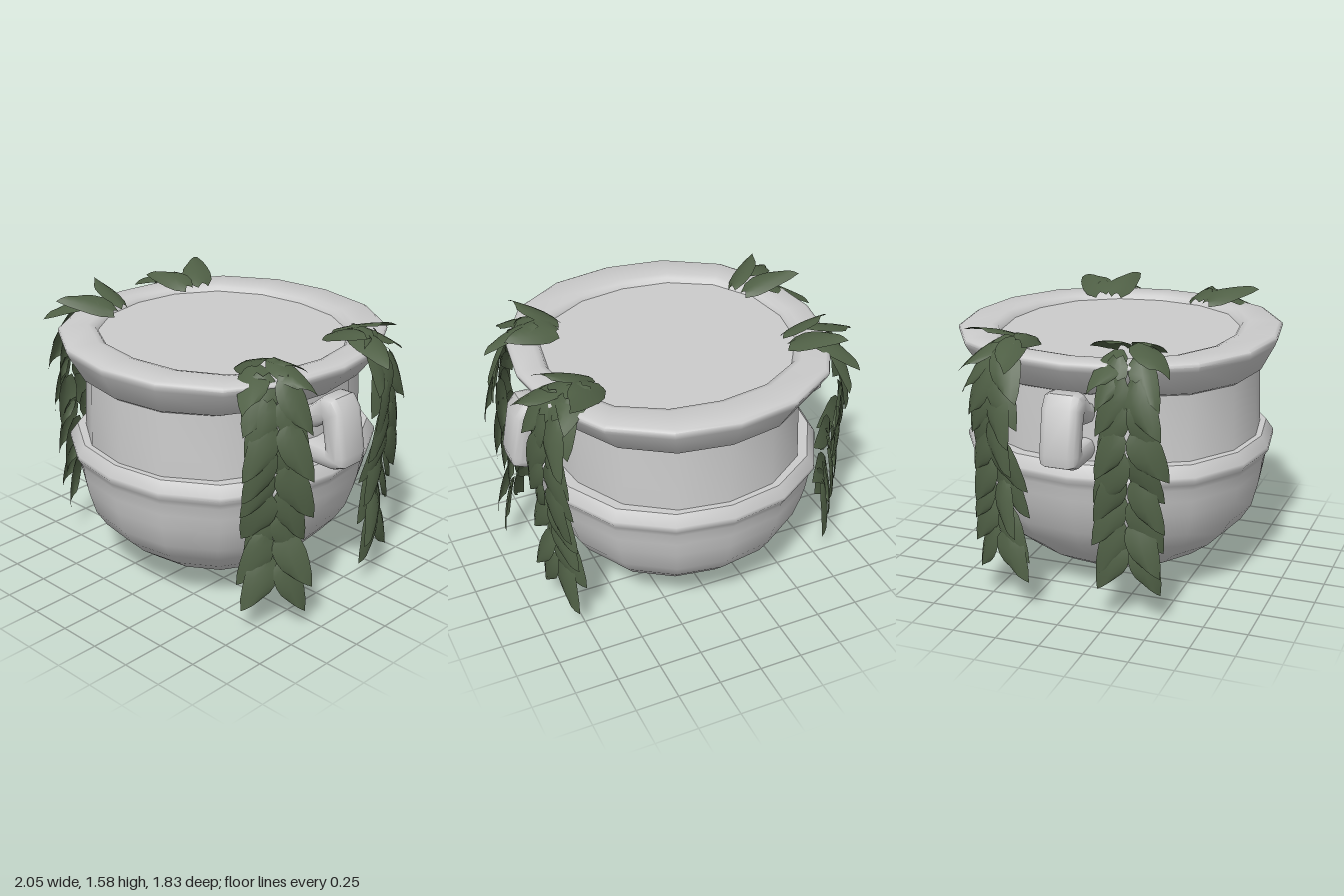
import * as THREE from 'three';
import { mergeGeometries, toCreasedNormals } from 'three/addons/utils/BufferGeometryUtils.js';

const stone = new THREE.MeshStandardMaterial({ color: 0xcccccc });
const green = new THREE.MeshStandardMaterial({ color: 0x4f5f45, side: THREE.DoubleSide });

// Small seeded generator for the irregularity of the leaves, -1..1
let seed = 7;
const jitter = () => {
  seed = (seed * 16807) % 2147483647;
  return (seed / 2147483647) * 2 - 1;
};

function named(name, geometry, material) {
  const mesh = new THREE.Mesh(geometry, material);
  mesh.name = name;
  return mesh;
}

// 16-sided oval pot with closed mouth: each ring is [depth radius, width radius, height]
function makePot() {
  const rings = [
    [0, 0, 0], [0.13, 0.12, 0.008], [0.26, 0.24, 0.033], [0.4, 0.37, 0.085],
    [0.53, 0.49, 0.155], [0.65, 0.595, 0.245], [0.74, 0.67, 0.335],
    [0.8, 0.73, 0.43], [0.835, 0.775, 0.56], [0.85, 0.8, 0.65], [0.858, 0.81, 0.72],
    [0.87, 0.82, 0.75], [0.889, 0.84, 0.78], [0.886, 0.838, 0.8], [0.845, 0.795, 0.86],
    [0.813, 0.73, 0.86], [0.8, 0.715, 1.23], [0.83, 0.765, 1.25],
    [0.905, 0.88, 1.395], [0.917, 0.895, 1.425], [0.913, 0.89, 1.44], [0.895, 0.87, 1.45],
    [0.72, 0.76, 1.45], [0.685, 0.725, 1.44], [0.668, 0.71, 1.415], [0, 0, 1.415],
  ];
  const geo = new THREE.LatheGeometry(rings.map(([r, , y]) => new THREE.Vector2(r, y)), 16);
  const pos = geo.attributes.position;
  for (let i = 0; i < pos.count; i++) {
    const [rz, rx] = rings[i % rings.length];
    if (rz === 0) continue;
    // oval plan, slightly fuller on the diagonals
    const sin = pos.getX(i) / rz;
    const cos = pos.getZ(i) / rz;
    const full = 1 + 0.035 * (2 * sin * cos) ** 2;
    pos.setX(i, sin * rx * full);
    pos.setZ(i, cos * rz * full);
  }
  return named('pot', toCreasedNormals(geo, 0.85), stone);
}

// C-shaped handle, cut from its side outline with broad chamfers
function makeHandle(side) {
  const bevel = 0.045;
  const outline = [
    [0.66, 1.14], [0.74, 1.15], [0.83, 1.23], [0.87, 1.23], [0.9, 1.19], [0.94, 0.96],
    [0.935, 0.93], [0.9, 0.915], [0.66, 0.915], [0.66, 0.945], [0.87, 0.945], [0.895, 0.97],
    [0.86, 1.16], [0.835, 1.185], [0.75, 1.12], [0.66, 1.11],
  ].map(([x, y]) => new THREE.Vector2(x, y));
  const geo = new THREE.ExtrudeGeometry(new THREE.Shape(outline), {
    depth: 0.13, bevelEnabled: true, bevelSize: bevel, bevelThickness: bevel, bevelSegments: 2,
  });
  geo.translate(0, 0, -0.065);
  if (side < 0) geo.rotateY(Math.PI);
  return named(side > 0 ? 'leftHandle' : 'rightHandle', toCreasedNormals(geo, 0.9), stone);
}

// Broad leaf with a round base; the tip is cut on a slant, longest on its outer side
function makeLeaf(length, width, lean) {
  const half = [0.35, 0.85, 1, 0.97, 0.85, 0.55];
  const geo = new THREE.PlaneGeometry(2, 1, 4, 5);
  const pos = geo.attributes.position;
  for (let i = 0; i < pos.count; i++) {
    const u = pos.getX(i);
    const v = pos.getY(i) + 0.5;
    const w = half[Math.round(v * 5)] * width / 2;
    pos.setXYZ(i,
      u * w + lean * 0.045 * v * v,
      v * length + 0.04 * lean * u * v * v - 0.02 * Math.abs(u) * (1 - v),
      0.015 * Math.sin(v * Math.PI) - 0.02 * u * u + 0.02 * v * v);
  }
  geo.computeVertexNormals();
  return geo;
}

// Splayed pairs of leaves along a path from the rim, over the edge and down
function makeGarland({ name, inner, edge, turn, end }) {
  const out = new THREE.Vector3(Math.cos(turn), 0, Math.sin(turn));
  const across = new THREE.Vector3(0, -1, 0).cross(out).normalize();
  const [ix, iz] = inner;
  const [ex, ez] = edge;
  const path = new THREE.CatmullRomCurve3([
    new THREE.Vector3(ix, 1.475, iz),
    new THREE.Vector3(THREE.MathUtils.lerp(ix, ex, 0.65), 1.515, THREE.MathUtils.lerp(iz, ez, 0.65)),
    new THREE.Vector3(ex, 1.42, ez),
    new THREE.Vector3(ex + out.x * 0.05, 1.05, ez + out.z * 0.05),
    new THREE.Vector3(ex, 0.75, ez),
    new THREE.Vector3(ex, end, ez),
  ]);
  const total = path.getLength();
  const length = 0.27;
  const rows = 11;
  const leaves = [];
  for (let r = 0; r < rows; r++) {
    const d = (r / (rows - 1)) * (total - length);
    const base = path.getPointAt(d / total);
    const along = path.getPointAt((d + length * 0.8) / total).sub(base).normalize();
    const normal = across.clone().cross(along).normalize();
    const side = along.clone().cross(normal).normalize();
    const frame = new THREE.Matrix4().makeBasis(side, along, normal).setPosition(base);
    for (const s of [-1, 1]) {
      const leaf = makeLeaf(length * (1 + 0.08 * jitter()), 0.17 + 0.02 * jitter(), s);
      leaf.rotateX(0.12 * jitter());
      leaf.rotateY(s * 0.15 + 0.2 * jitter());
      leaf.rotateZ(-s * (0.12 + 0.08 * jitter()));
      leaf.translate(s * 0.055 + 0.015 * jitter(), 0.02 * jitter(), 0.012 * jitter());
      leaves.push(leaf.applyMatrix4(frame));
    }
  }
  return named(name, mergeGeometries(leaves), green);
}

export function createModel() {
  const model = new THREE.Group();
  model.name = 'garlandedCauldron';
  model.add(makePot(), makeHandle(1), makeHandle(-1));

  // Four garlands hung over the rim
  const garlands = [
    { name: 'frontLeftGarland', inner: [0.55, 0.32], edge: [0.82, 0.45], turn: 0.68, end: 0.17 },
    { name: 'backLeftGarland', inner: [0.56, -0.28], edge: [0.86, -0.38], turn: -0.3, end: 0.17 },
    { name: 'frontRightGarland', inner: [-0.57, 0.27], edge: [-0.87, 0.36], turn: Math.PI - 0.18, end: 0.2 },
    { name: 'backRightGarland', inner: [-0.56, -0.33], edge: [-0.86, -0.4], turn: Math.PI + 0.4, end: 0.2 },
  ];
  for (const g of garlands) model.add(makeGarland(g));
  return model;
}
